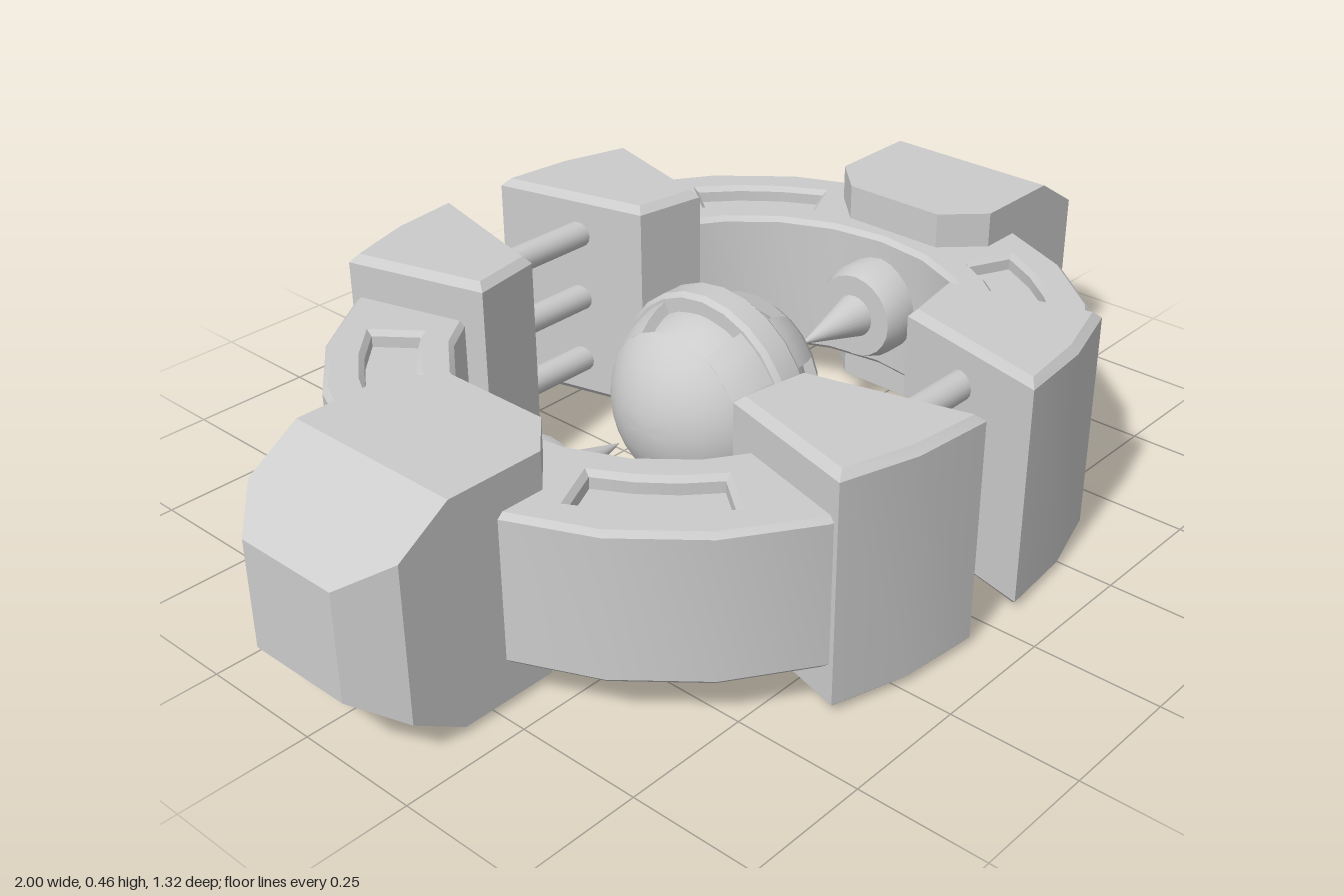
import * as THREE from 'three';
import { toCreasedNormals } from 'three/addons/utils/BufferGeometryUtils.js';
import { ConvexGeometry } from 'three/addons/geometries/ConvexGeometry.js';

const MID = 0.233; // height of the symmetry plane
const RING_X = 0.1; // centre of each half ring
const rad = THREE.MathUtils.degToRad;
const material = new THREE.MeshStandardMaterial({ color: 0xcccccc });

function add(parent, name, geometry, crease = 0.5) {
  const mesh = new THREE.Mesh(toCreasedNormals(geometry, crease), material);
  mesh.name = name;
  parent.add(mesh);
  return mesh;
}

// Extrudes a plan outline (x, z) upright, centred on y = 0
function slab(shape, height, bevel) {
  const g = new THREE.ExtrudeGeometry(shape, {
    depth: height - 2 * bevel, bevelEnabled: bevel > 0, bevelSegments: 1,
    bevelThickness: bevel, bevelSize: bevel, bevelOffset: -bevel,
  });
  g.translate(0, 0, bevel - height / 2);
  return g.rotateX(Math.PI / 2);
}

// Plan points of an annular sector through the given angles in degrees
function sector(inner, outer, angles) {
  const at = (r, a) => new THREE.Vector2(RING_X + r * Math.cos(rad(a)), r * Math.sin(rad(a)));
  return [...angles.map(a => at(outer, a)), ...[...angles].reverse().map(a => at(inner, a))];
}

// Solid of revolution about the x axis from [radius, x] points
function latheX(points, segments = 24) {
  return new THREE.LatheGeometry(points.map(p => new THREE.Vector2(...p)), segments).rotateZ(-Math.PI / 2);
}

function createHalf() {
  const half = new THREE.Group();

  // Half ring with recessed slots above and below
  const angles = [];
  for (let i = -5; i <= 5; i++) angles.push(THREE.MathUtils.clamp(i * 16, -72, 72));
  const ringShape = new THREE.Shape(sector(0.415, 0.652, angles));
  for (const s of [-1, 1]) {
    const slot = sector(0.482, 0.575, [25, 34, 43, 52].map(a => a * s));
    ringShape.holes.push(new THREE.Path(slot));
    add(half, 'slotFloor', slab(new THREE.Shape(slot), 0.23, 0));
  }
  add(half, 'halfRing', slab(ringShape, 0.295, 0.01));

  // Wedge-shaped clamps on both ring ends
  for (const s of [-1, 1]) {
    const plan = [[0.07, 0.66], [0.23, 0.645], [0.38, 0.6], [0.3, 0.31], [0.15, 0.335]];
    const shape = new THREE.Shape(plan.map(([x, z]) => new THREE.Vector2(x, z * s)));
    add(half, 'clamp', slab(shape, 0.465, 0.015));
  }

  // Chamfered side block, tapering in height towards its outer end
  const corners = [];
  for (const [x, z] of [[0.55, 0.11], [0.625, 0.187], [0.82, 0.187], [0.925, 0.187], [1, 0.11]]) {
    const h = 0.22 - Math.max(0, x - 0.82) * 0.635;
    for (const sy of [-1, 1]) for (const sz of [-1, 1]) corners.push(new THREE.Vector3(x, h * sy, z * sz));
  }
  add(half, 'sideBlock', new ConvexGeometry(corners));

  // Inward spike on a round base
  const spike = [[0, 0], [0.1, 0], [0.1, 0.07], [0.088, 0.1], [0.045, 0.1], [0, 0.27]];
  add(half, 'spike', latheX(spike).rotateY(Math.PI).translate(0.53, 0, 0), 0.7);
  return half;
}

// Globe with two rows of recessed windows beside a raised central band
function createCore() {
  const core = new THREE.Group();
  core.name = 'core';
  const R = 0.2, FLOOR = 0.178, EDGE = 0.115;
  add(core, 'innerSphere', new THREE.SphereGeometry(FLOOR, 24, 16));
  add(core, 'centralBand', latheX([[0.17, -0.035], [0.203, -0.035], [0.212, -0.025],
    [0.212, 0.025], [0.203, 0.035], [0.17, 0.035]]));

  const cap = [[0.12, EDGE]];
  for (let i = 0; i <= 6; i++) {
    const a = THREE.MathUtils.lerp(Math.asin(EDGE / R), Math.PI / 2, i / 6);
    cap.push([i === 6 ? 0 : R * Math.cos(a), R * Math.sin(a)]);
  }
  for (const side of [0, 1]) {
    add(core, 'endCap', latheX(cap).rotateY(side * Math.PI));
    // Curved bars between the windows: boxes bent onto the sphere
    for (let i = 0; i < 4; i++) {
      const g = new THREE.BoxGeometry(1, 1, 1, 3, 1, 3);
      const p = g.attributes.position;
      for (let k = 0; k < p.count; k++) {
        const x = THREE.MathUtils.lerp(0.03, EDGE, p.getX(k) + 0.5);
        const r = Math.sqrt((p.getY(k) > 0 ? R : 0.165) ** 2 - x * x);
        const a = p.getZ(k) * rad(32);
        p.setXYZ(k, x, r * Math.cos(a), r * Math.sin(a));
      }
      add(core, 'windowBar', g.rotateX(rad(45 + 90 * i)).rotateY(side * Math.PI));
    }
  }
  return core;
}

export function createModel() {
  const model = new THREE.Group();
  model.name = 'ringDevice';
  const body = new THREE.Group();
  body.name = 'body';
  body.position.y = MID;
  model.add(body);

  ['leftHalf', 'rightHalf'].forEach((name, i) => {
    const half = createHalf();
    half.name = name;
    half.rotation.y = i * Math.PI;
    body.add(half);
  });

  // Three connecting rods at the front and back
  for (const z of [-0.482, 0.482]) for (const y of [-0.145, 0, 0.145]) {
    add(body, 'rod', new THREE.CylinderGeometry(0.028, 0.028, 0.36, 16).rotateZ(Math.PI / 2).translate(0, y, z));
  }
  body.add(createCore());
  return model;
}
